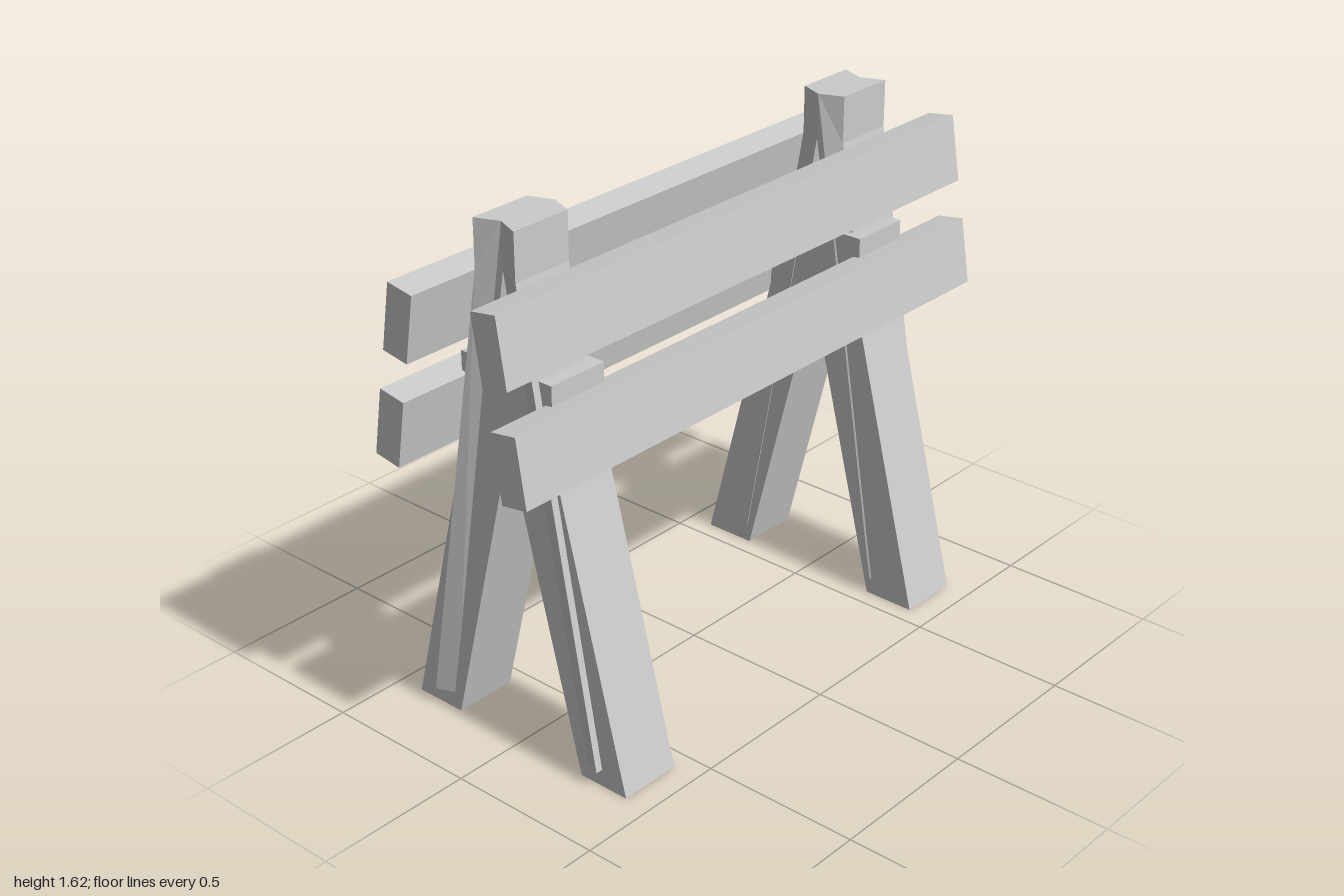
import * as THREE from 'three';

const material = new THREE.MeshStandardMaterial({ color: 0xcccccc, flatShading: true });

// Extrudes an outline along z, starting at zStart
function extrude(points, zStart, depth) {
  const shape = new THREE.Shape(points.map(([x, y]) => new THREE.Vector2(x, y)));
  const geometry = new THREE.ExtrudeGeometry(shape, { depth, bevelEnabled: false });
  return geometry.translate(0, 0, zStart);
}

function addMesh(parent, name, geometry) {
  const mesh = new THREE.Mesh(geometry, material);
  mesh.name = name;
  parent.add(mesh);
  return mesh;
}

// Tall leg: its outer edge is skewed outwards in z
function tallLeg(side) {
  const outline = [[0, 1.62], [0.075, 1.62], [0.075, 1.475], [0.325, 0.055], [0.255, 0.055], [0, 1.48]];
  const geometry = extrude(outline.map(([x, y]) => [side * x, y]), 0.558, 0.2);
  const p = geometry.attributes.position;
  for (let i = 0; i < p.count; i++) {
    const inner = Math.max(0, (1.48 - p.getY(i)) * 0.179);
    const across = (Math.abs(p.getX(i)) - inner) / 0.075;
    p.setZ(i, p.getZ(i) + 0.03 * across);
  }
  geometry.computeVertexNormals();
  return geometry;
}

// One end support: short wide A-frame plus the two tall legs
function createTrestle(name) {
  const trestle = new THREE.Group();
  trestle.name = name;
  addMesh(trestle, 'wideLegFrame', extrude([
    [-0.17, 1.2], [-0.17, 0.965], [-0.415, 0], [-0.245, 0], [0, 0.965],
    [0.245, 0], [0.415, 0], [0.17, 0.965], [0.17, 1.2],
  ], 0.561, 0.202));
  addMesh(trestle, 'leftTallLeg', tallLeg(1));
  addMesh(trestle, 'rightTallLeg', tallLeg(-1));
  return trestle;
}

export function createModel() {
  const model = new THREE.Group();
  model.name = 'trestleBarrier';

  const front = createTrestle('frontTrestle');
  const back = createTrestle('backTrestle');
  back.rotation.y = Math.PI;
  model.add(front, back);

  // Tilted rails, the two sides slightly staggered in z
  for (const side of [1, -1]) {
    const sideName = side > 0 ? 'left' : 'right';
    for (const [name, x, y] of [['UpperRail', 0.152, 1.367], ['LowerRail', 0.208, 1.041]]) {
      const rail = addMesh(model, sideName + name, new THREE.BoxGeometry(0.091, 0.208, 1.966));
      rail.position.set(side * x, y, side * -0.017);
      rail.rotation.z = side * 0.16;
    }
  }
  return model;
}
